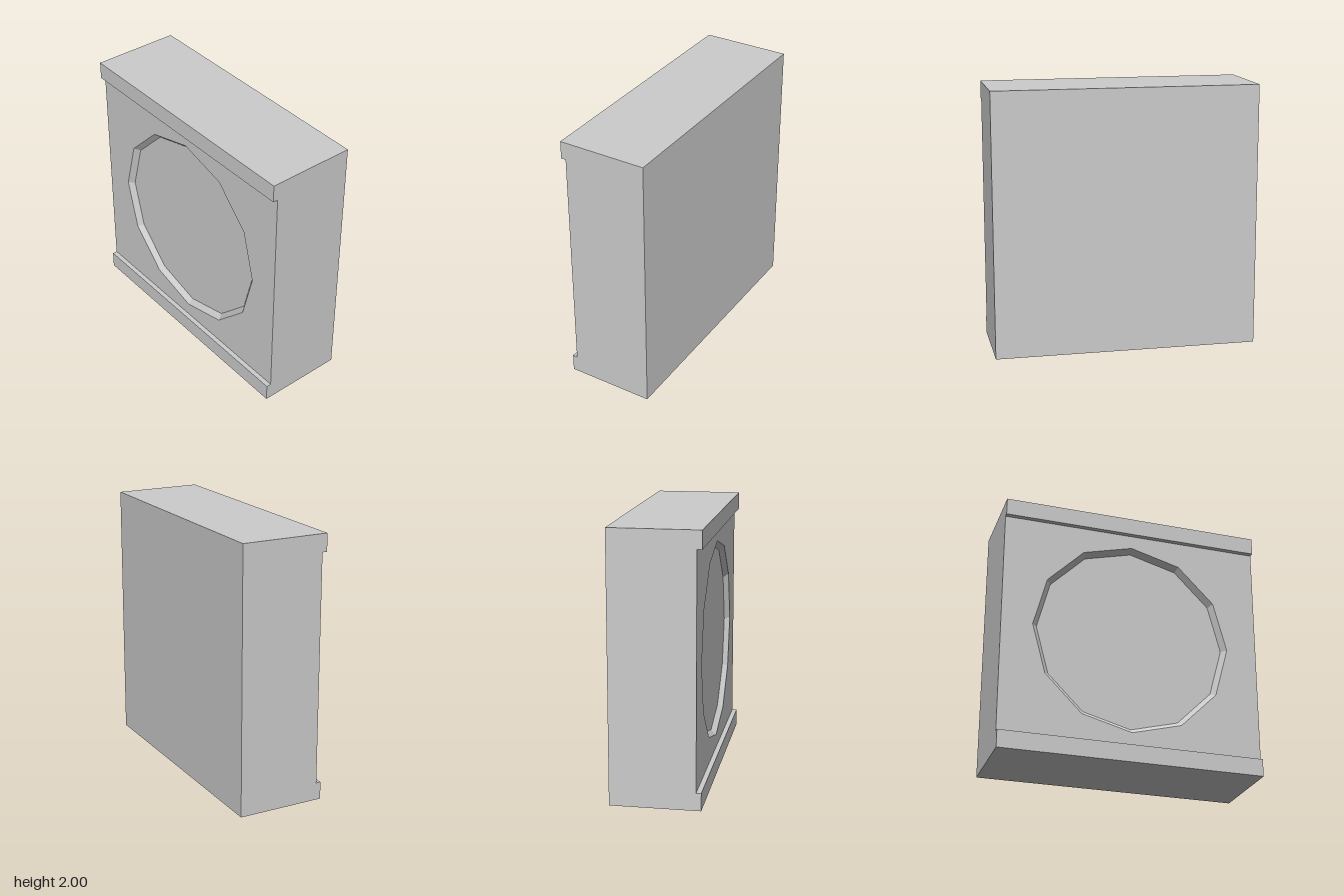
import * as THREE from 'three';

const DEPTH = 0.333;      // half depth of the whole block
const FACE = 0.296;       // front panel plane
const FLOOR = 0.256;      // floor of the round recess
const LIP = 0.133;        // height of top and bottom lips
const R_OUT = 0.763, R_IN = 0.726, SIDES = 12;

export function createModel() {
  const group = new THREE.Group();
  const grey = new THREE.MeshStandardMaterial({ color: 0xcccccc });
  grey.name = 'light grey';

  const add = (name, geometry, x, y, z) => {
    const mesh = new THREE.Mesh(geometry, grey);
    mesh.name = name;
    mesh.position.set(x, y, z);
    group.add(mesh);
  };

  // Main block; its front face is also the recess floor
  add('block', new THREE.BoxGeometry(2, 2, FLOOR + DEPTH), 0, 1, (FLOOR - DEPTH) / 2);

  // Front panel with a twelve-sided opening
  const outline = new THREE.Shape([[-1, -1], [1, -1], [1, 1], [-1, 1]].map(([x, y]) => new THREE.Vector2(x, y)));
  const opening = [];
  for (let i = 0; i < SIDES; i++) {
    const a = (-i / SIDES) * Math.PI * 2;
    opening.push(new THREE.Vector2(Math.cos(a) * R_OUT, Math.sin(a) * R_OUT));
  }
  outline.holes.push(new THREE.Path(opening));
  const panel = new THREE.ExtrudeGeometry(outline, { depth: FACE - FLOOR, bevelEnabled: false });

  // Narrow the opening towards its floor so the rim slopes
  const p = panel.attributes.position;
  for (let i = 0; i < p.count; i++) {
    if (p.getZ(i) < 0.001 && Math.hypot(p.getX(i), p.getY(i)) < 0.8) {
      p.setXY(i, p.getX(i) * R_IN / R_OUT, p.getY(i) * R_IN / R_OUT);
    }
  }
  panel.computeVertexNormals();
  add('frontPanel', panel, 0, 1, FLOOR);

  // Raised lips along the top and bottom edges
  for (const [name, y] of [['bottomLip', LIP / 2], ['topLip', 2 - LIP / 2]]) {
    add(name, new THREE.BoxGeometry(2, LIP, DEPTH - FACE), 0, y, (DEPTH + FACE) / 2);
  }
  return group;
}
